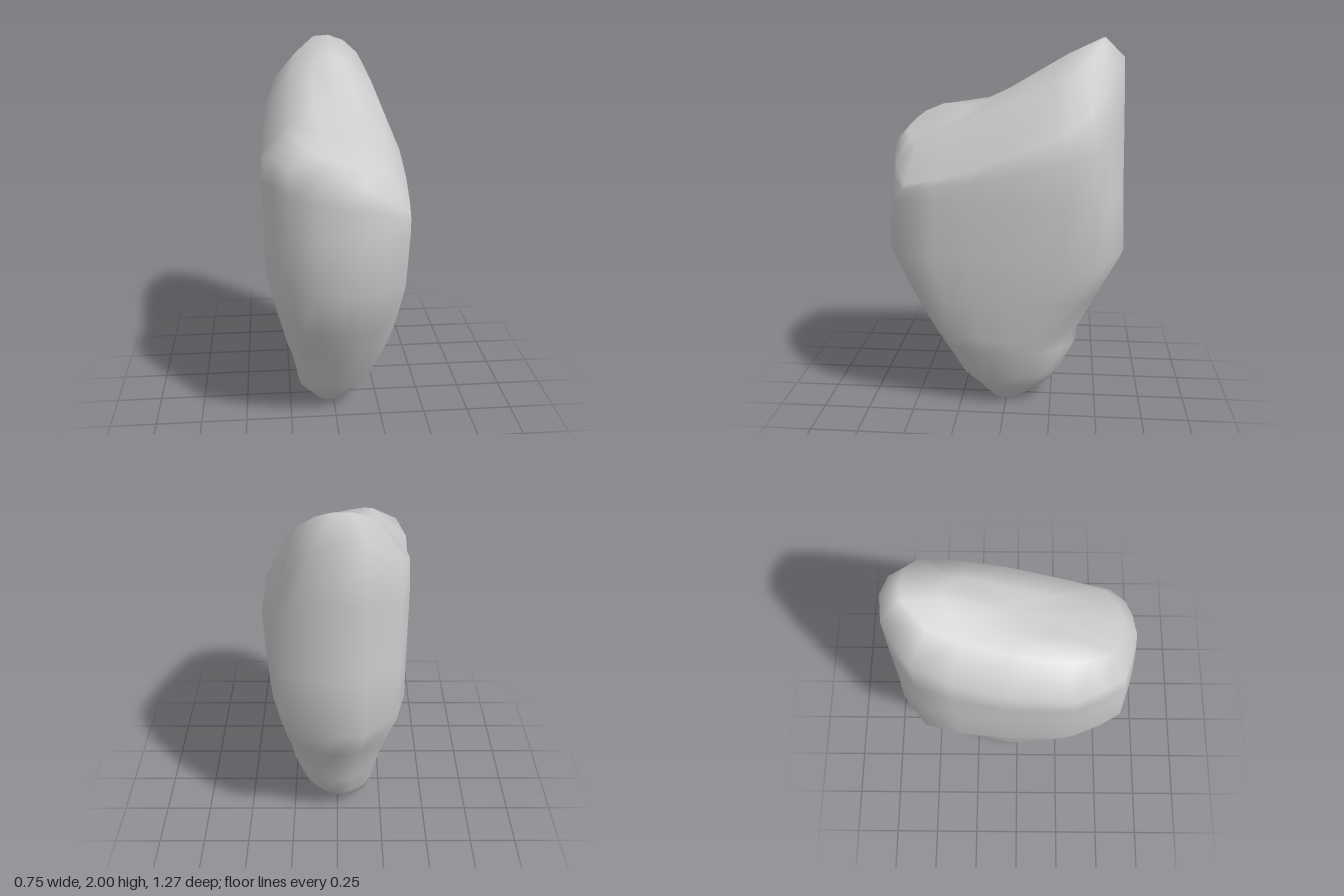
import * as THREE from 'three';

// Plan outline of the boulder at its widest, from the front round by +x (unit half-extents)
const outline = [
  [0, 1], [0.3, 0.98], [0.6, 0.94], [0.9, 0.83], [0.96, 0.57], [1, 0.28], [1, -0.1], [0.98, -0.52],
  [0.87, -0.78], [0.7, -0.89], [0.35, -0.97], [0, -1], [-0.35, -0.98], [-0.8, -0.78], [-0.93, -0.5],
  [-1, -0.1], [-1, 0.2], [-0.98, 0.47], [-0.82, 0.7], [-0.64, 0.88], [-0.3, 0.95],
];

// Cross-sections: front y, back y, min x, max x, back z, front z, drop at the sides, roll
const sections = [
  [0.00, 0.00, -0.10, 0.07, -0.09, 0.09, 0, 0],
  [0.11, 0.11, -0.20, 0.155, -0.25, 0.20, 0, 0],
  [0.18, 0.20, -0.215, 0.21, -0.31, 0.26, 0, 0],
  [0.38, 0.35, -0.25, 0.27, -0.385, 0.37, 0, 0],
  [0.45, 0.42, -0.27, 0.285, -0.39, 0.41, 0, 0],
  [0.65, 0.65, -0.315, 0.325, -0.51, 0.53, 0, 0],
  [0.92, 0.88, -0.37, 0.355, -0.635, 0.637, 0, 0],
  [1.20, 1.20, -0.37, 0.37, -0.62, 0.615, 0, 0],
  [1.35, 1.60, -0.37, 0.372, -0.61, 0.60, 0.1, 0.08],
  [1.47, 1.90, -0.36, 0.365, -0.60, 0.585, 0.2, 0.16],
  [1.54, 2.00, -0.22, 0.25, -0.50, 0.52, 0.08, 0.12],
  [1.61, 1.92, -0.10, 0.12, -0.32, 0.25, 0.03, 0.05],
];

// Local bumps and hollows: centre, radius, shift
const pushes = [
  [[-0.30, 1.47, 0.40], 0.32, [-0.03, 0.12, 0]],
  [[0.32, 1.68, -0.48], 0.32, [-0.07, -0.03, 0.04]],
  [[0.12, 0.62, 0.45], 0.2, [0, 0, -0.03]],
  [[-0.15, 0.42, 0.34], 0.18, [0, 0, -0.02]],
  [[0.20, 0.45, -0.30], 0.16, [-0.03, 0, 0.03]],
].map(([c, r, d]) => ({ centre: new THREE.Vector3(...c), r, shift: new THREE.Vector3(...d) }));

// How square a section is at a corner: rounder low down, most of all at the back on the +x side
function squareness(u, w, level) {
  if (u <= 0) return Math.min(1, (w > 0 ? 0.35 : 0.25) + level * 0.13);
  return w > 0 ? Math.min(1, 0.1 + level * 0.14) : THREE.MathUtils.clamp((level - 2.5) * 0.18, 0.1, 1);
}

function sectionPoint([yf, yb, x0, x1, z0, z1, drop, roll], u, w, level) {
  const square = squareness(u, w, level);
  const k = square + (1 - square) / Math.hypot(u, w);
  u *= k;
  w *= k;
  const p = new THREE.Vector3(
    THREE.MathUtils.lerp(x0, x1, (u + 1) / 2),
    THREE.MathUtils.lerp(yb, yf, (w + 1) / 2) - drop * u * u,
    THREE.MathUtils.lerp(z0, z1, (w + 1) / 2),
  );
  p.y -= roll * p.x;
  const start = p.clone();
  for (const { centre, r, shift } of pushes) {
    p.addScaledVector(shift, Math.max(0, 1 - start.distanceTo(centre) / r));
  }
  return p;
}

function boulderGeometry() {
  const n = outline.length;
  const pos = [];
  const idx = [];
  sections.forEach((s, i) => {
    for (const [u, w] of outline) pos.push(...sectionPoint(s, u, w, i).toArray());
  });
  const last = sections.length - 1;
  const bottom = pos.length / 3;
  pos.push(-0.01, 0, 0, 0, 1.745, -0.02);
  for (let j = 0; j < n; j++) {
    const k = (j + 1) % n;
    for (let i = 0; i < last; i++) {
      const a = i * n + j, b = i * n + k, c = a + n, d = b + n;
      idx.push(a, b, d, a, d, c);
    }
    // Close the foot and the crown
    idx.push(bottom, k, j);
    idx.push(last * n + j, last * n + k, bottom + 1);
  }
  const g = new THREE.BufferGeometry();
  g.setAttribute('position', new THREE.Float32BufferAttribute(pos, 3));
  g.setIndex(idx);
  g.computeVertexNormals();
  return g;
}

export function createModel() {
  const group = new THREE.Group();
  group.name = 'rock';
  const boulder = new THREE.Mesh(boulderGeometry(), new THREE.MeshStandardMaterial({ color: 0xcccccc }));
  boulder.name = 'boulder';
  group.add(boulder);
  return group;
}
